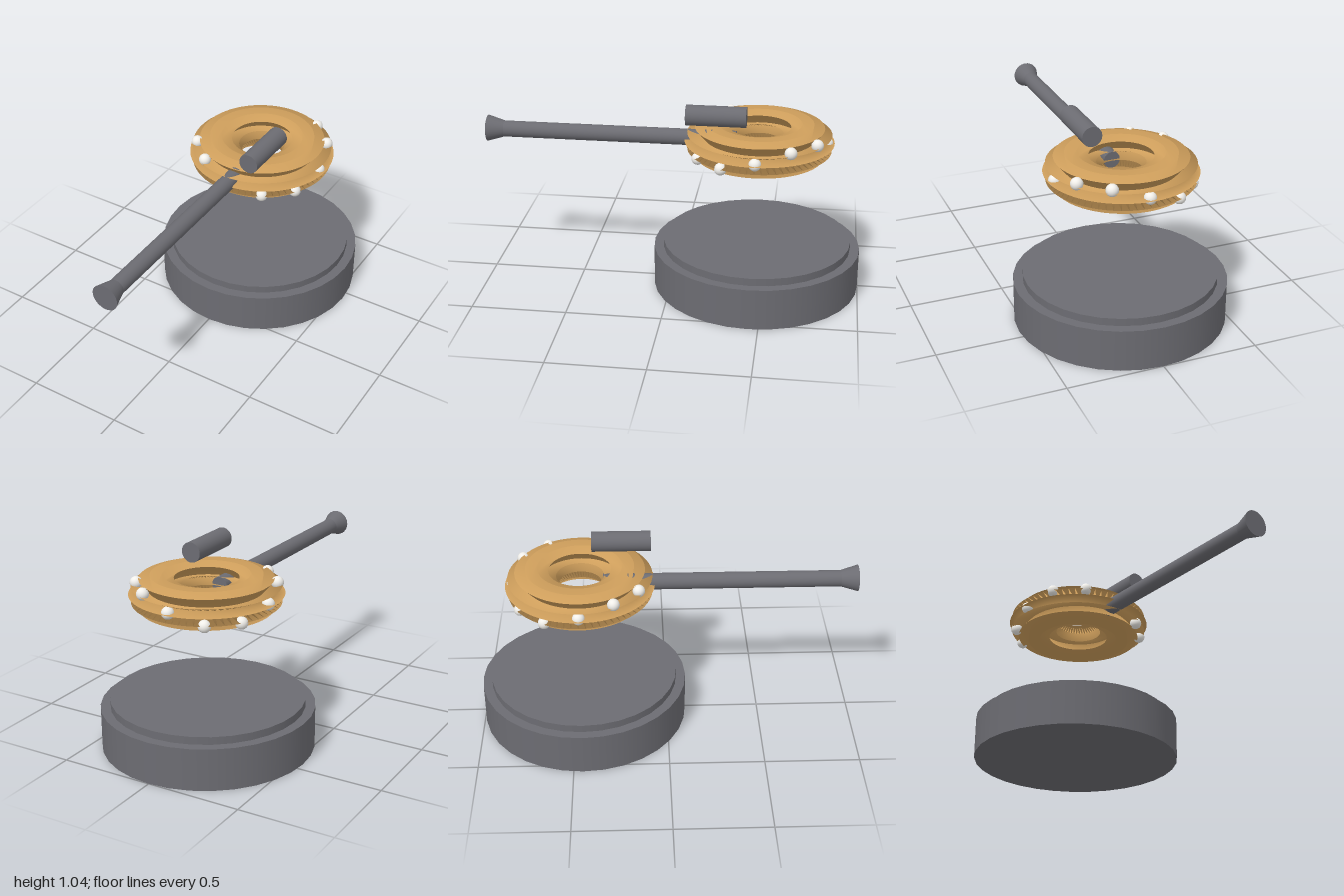
import * as THREE from 'three';

const CENTRE_Z = -0.45; // shared axis of base and ring
const RING_Y = 0.815;

const mat = (color) => new THREE.MeshStandardMaterial({ color });
const dark = mat(0x6c6c72);
const gold = mat(0xcf9f5c);
const pearl = mat(0xf0eee9);

function add(parent, name, geometry, material, x, y, z) {
  const mesh = new THREE.Mesh(geometry, material);
  mesh.name = name;
  mesh.position.set(x, y, z);
  parent.add(mesh);
  return mesh;
}

// Cylinder lying along z, from z0 (radius r0) to z1 (radius r1)
function rod(parent, name, r0, r1, x, y, z0, z1) {
  const g = new THREE.CylinderGeometry(r1, r0, z1 - z0, 32).rotateX(Math.PI / 2);
  return add(parent, name, g, dark, x, y, (z0 + z1) / 2);
}

// Flattened torus whose cross-section is a star of sharp ridges
function ridgedRing(radius, width, height, ridges, valley) {
  const profile = [];
  const n = ridges * 2;
  for (let i = 0; i <= n; i++) {
    const a = (i / n) * Math.PI * 2;
    const k = i % 2 ? valley : 1;
    profile.push(new THREE.Vector2(radius + width * k * Math.cos(a), height * k * Math.sin(a)));
  }
  return new THREE.LatheGeometry(profile, 64);
}

export function createModel() {
  const model = new THREE.Group();
  model.name = 'ringAndBase';

  // Stepped round base
  add(model, 'base', new THREE.CylinderGeometry(0.55, 0.55, 0.22, 32), dark, 0, 0.11, CENTRE_Z);
  add(model, 'baseStep', new THREE.CylinderGeometry(0.5, 0.5, 0.04, 32), dark, 0, 0.24, CENTRE_Z);

  // Ridged ring
  add(model, 'ridgedRing', ridgedRing(0.25, 0.14, 0.099, 14, 0.38), gold, 0, RING_Y, CENTRE_Z);

  // Beads weaving up and down around the rim
  const beads = new THREE.Group();
  beads.name = 'beads';
  const beadGeometry = new THREE.SphereGeometry(0.032, 20, 14);
  for (let i = 0; i < 12; i++) {
    const a = (i / 12) * Math.PI * 2;
    add(beads, 'bead', beadGeometry, pearl,
      0.35 * Math.cos(a), RING_Y + 0.058 * Math.sin(2 * a), CENTRE_Z - 0.35 * Math.sin(a));
  }
  model.add(beads);

  // Long handle with flared end
  rod(model, 'handle', 0.043, 0.043, 0, RING_Y, -0.33, 0.91);
  rod(model, 'handleFlare', 0.043, 0.07, 0, RING_Y, 0.91, 1);

  // Short bar above the ring
  rod(model, 'upperBar', 0.053, 0.053, 0.13, 0.983, -0.39, -0.08);

  return model;
}
